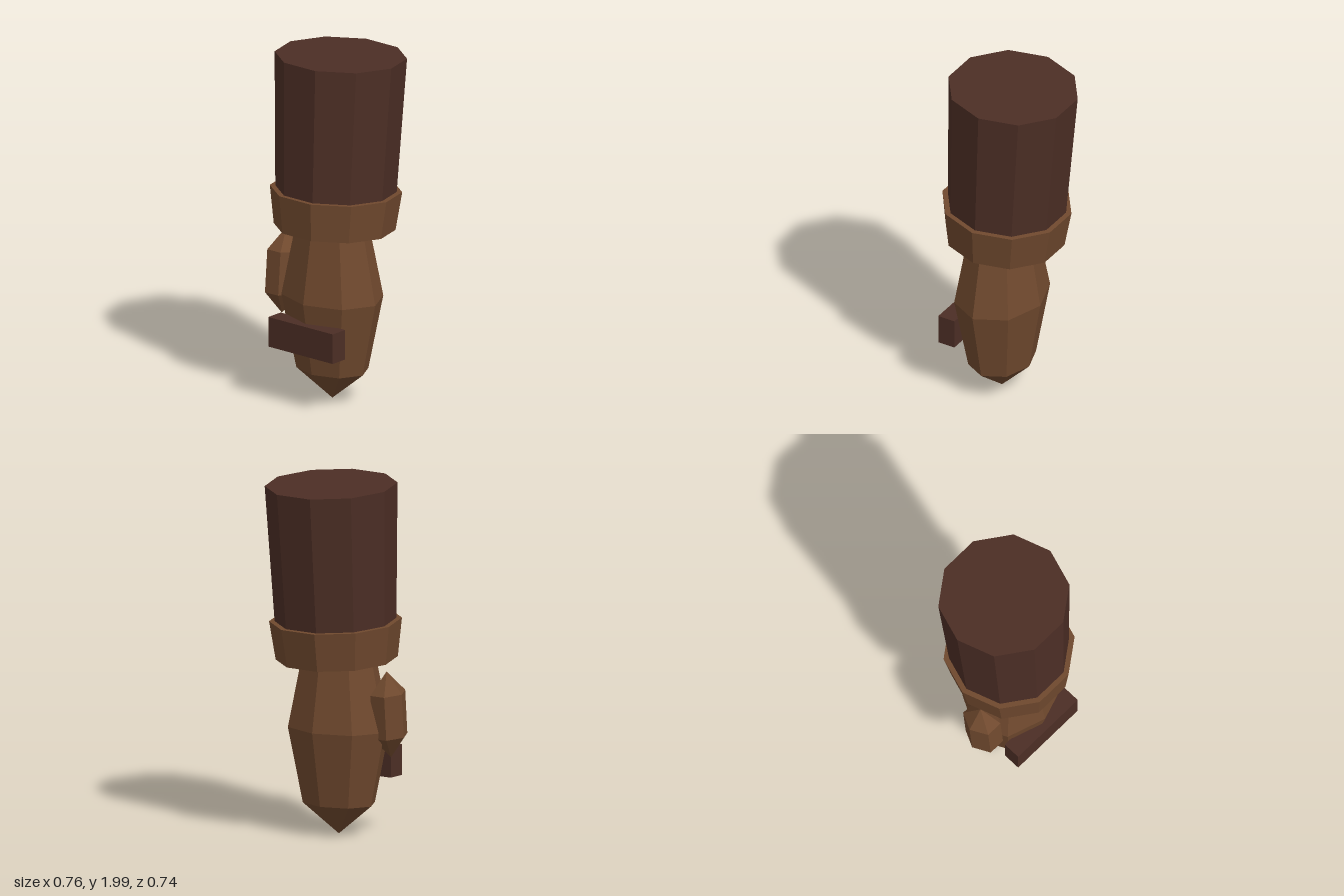
import * as THREE from 'three';

export function createModel() {
  const group = new THREE.Group();
  const material = (name, color) => {
    const m = new THREE.MeshStandardMaterial({ color, flatShading: true });
    m.name = name;
    return m;
  };
  const darkBrown = material('dark brown', 0x4c2e25);
  const brown = material('brown', 0x70492e);

  const add = (parent, name, geometry, mat, x = 0, y = 0, z = 0) => {
    const mesh = new THREE.Mesh(geometry, mat);
    mesh.name = name;
    mesh.position.set(x, y, z);
    parent.add(mesh);
    return mesh;
  };
  // Ten-sided tapered drum with a flat side facing forward
  const drum = (top, bottom, height) =>
    new THREE.CylinderGeometry(top, bottom, height, 10, 1, false, Math.PI / 10);
  // Faceted ellipsoid
  const blob = (rx, ry, rz, around, rows) =>
    new THREE.SphereGeometry(1, around, rows).scale(rx, ry, rz);

  const cx = 0.0135;

  // Sleeve and cuff share one axis, leaning slightly back
  const forearm = new THREE.Group();
  forearm.name = 'forearm';
  forearm.position.set(cx, 0.996, 0.033);
  forearm.rotation.x = -0.053;
  group.add(forearm);
  add(forearm, 'sleeve', drum(0.367, 0.332, 0.88), darkBrown, 0, 0.546, 0);
  add(forearm, 'cuff', drum(0.367, 0.3375, 0.218), brown, 0, 0.109, 0);

  // Mitten-like hand, with the thumb on the model's right
  add(group, 'hand', blob(0.312, 0.6, 0.2475, 8, 4), brown, cx, 0.605, 0.0525);
  const thumb = add(group, 'thumb', blob(0.111, 0.246, 0.13, 6, 3), brown, -0.285, 0.7, 0.113);
  thumb.rotation.x = -0.08;

  // Knuckle bar across the front of the hand
  add(group, 'knuckleBar', new THREE.BoxGeometry(0.469, 0.172, 0.104), darkBrown, cx, 0.405, 0.27);

  return group;
}
